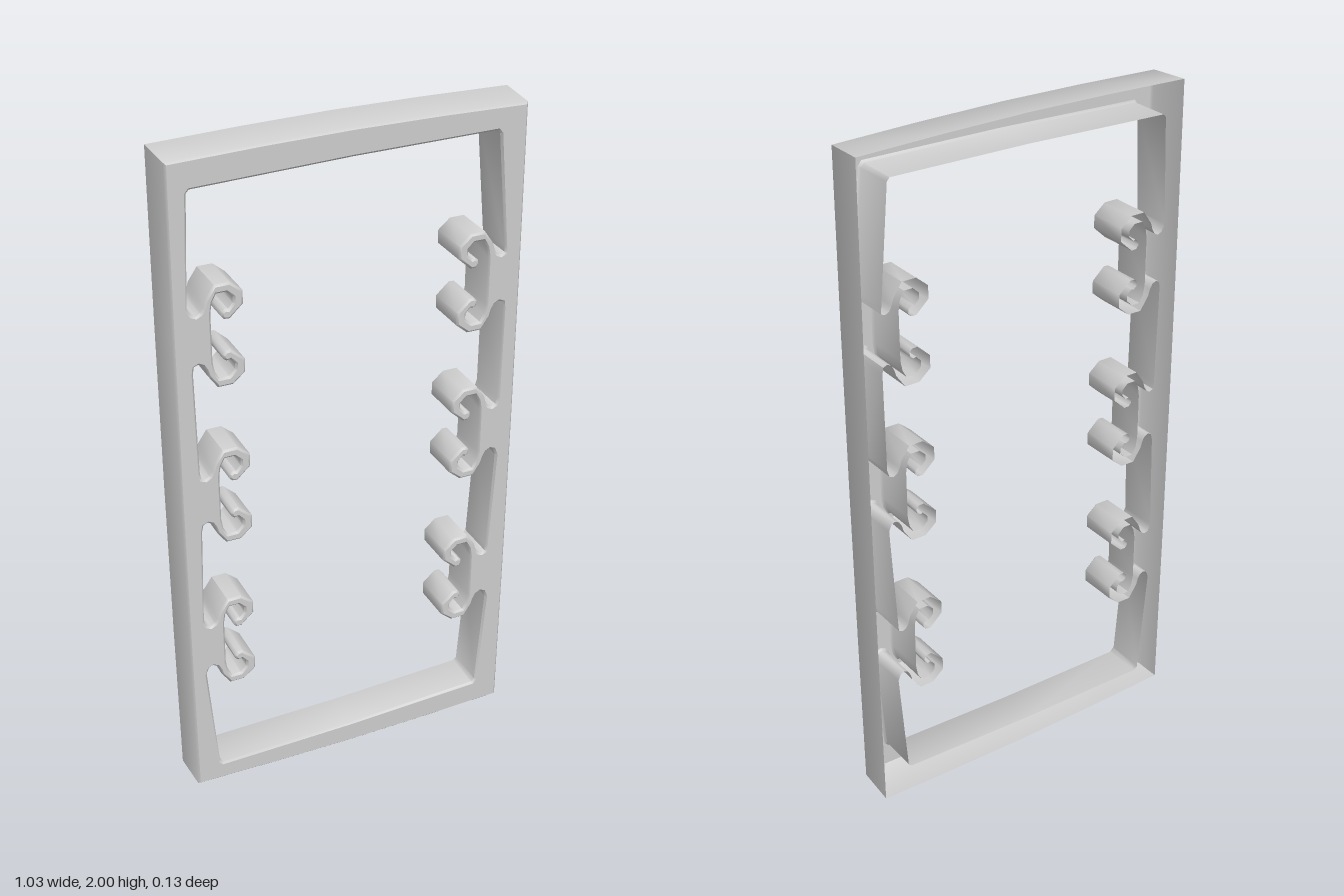
import * as THREE from 'three';
import { toCreasedNormals } from 'three/addons/utils/BufferGeometryUtils.js';

const FRONT = 0.063, BACK = -0.063, BEVEL = 0.006;
const material = new THREE.MeshStandardMaterial({ color: 0xcccccc, side: THREE.DoubleSide });

// Upper half of a double hook: u = distance inward from the stem edge, v = height above its middle
const HOOK = [
  [-0.052, 0.075], [-0.04, 0.07], [-0.028, 0.076], [-0.02, 0.09], [-0.014, 0.11], [0.012, 0.148],
  [0.055, 0.148], [0.09, 0.118], [0.09, 0.08], [0.052, 0.045], [0.036, 0.046], [0.028, 0.056],
  [0.03, 0.068], [0.039, 0.075], [0.048, 0.073], [0.062, 0.088], [0.062, 0.105], [0.044, 0.122],
  [0.017, 0.122], [0.005, 0.1], [0, 0.07],
];

// Hooks on each side, top to bottom: stem x, middle y, frame edge x above and below
const LEFT = [[0.405, 1.49, 0.455, 0.46], [0.4, 1.015, 0.458, 0.46], [0.39, 0.51, 0.443, 0.45]];
const RIGHT = [[0.4, 1.49, 0.463, 0.455], [0.395, 1.0, 0.45, 0.452], [0.4, 0.51, 0.46, 0.46]];

// Outline of one side of the opening, from top to bottom
function sideOutline(hooks, side) {
  const points = [];
  for (const [stem, y, above, below] of hooks) {
    points.push([side * above, y + 0.095]);
    for (const [u, v] of HOOK) points.push([side * (stem - u), y + v]);
    for (const [u, v] of [...HOOK].reverse()) points.push([side * (stem - u), y - v]);
    points.push([side * below, y - 0.095]);
  }
  return points;
}

// Move a closed counter-clockwise loop sideways; positive goes to its inside
function offset(loop, distance) {
  const n = loop.length;
  return loop.map(([x, y], i) => {
    const a = loop[(i + n - 1) % n], b = loop[(i + 1) % n];
    const d1 = new THREE.Vector2(x - a[0], y - a[1]).normalize();
    const d2 = new THREE.Vector2(b[0] - x, b[1] - y).normalize();
    const k = distance / Math.max(0.5, 1 + d1.dot(d2));
    return [x - (d1.y + d2.y) * k, y + (d1.x + d2.x) * k];
  });
}

// Skin a stack of equal loops, each { loop, z } listed from front to back
function skin(rings, facesInside) {
  const position = [];
  for (let r = 0; r < rings.length - 1; r++) {
    const f = rings[r], b = rings[r + 1], n = f.loop.length;
    for (let i = 0; i < n; i++) {
      const j = (i + 1) % n;
      const A = [...f.loop[i], f.z], B = [...f.loop[j], f.z];
      const C = [...b.loop[j], b.z], D = [...b.loop[i], b.z];
      position.push(...(facesInside ? [A, B, C, A, C, D] : [A, C, B, A, D, C]).flat());
    }
  }
  const geometry = new THREE.BufferGeometry();
  geometry.setAttribute('position', new THREE.Float32BufferAttribute(position, 3));
  return toCreasedNormals(geometry, THREE.MathUtils.degToRad(50));
}

export function createModel() {
  const group = new THREE.Group();
  group.name = 'hookedFrame';
  const add = (geometry, name) => {
    const mesh = new THREE.Mesh(geometry, material);
    mesh.name = name;
    group.add(mesh);
  };
  const vectors = (loop) => loop.map(([x, y]) => new THREE.Vector2(x, y));

  // Slightly bowed outer outline, a little wider at the back
  const back = [
    [-0.509, 0.01], [-0.25, 0.003], [0, 0], [0.25, 0.003], [0.509, 0.01], [0.512, 0.5], [0.513, 1],
    [0.512, 1.5], [0.509, 1.99], [0.25, 1.997], [0, 2], [-0.25, 1.997], [-0.509, 1.99],
    [-0.512, 1.5], [-0.513, 1], [-0.512, 0.5],
  ];
  const outer = offset(back, 0.005);

  // Opening outline with the hooks growing in from both sides
  const opening = [
    [-0.442, 1.905], [-0.45, 1.896], ...sideOutline(RIGHT, -1), [-0.432, 0.08], [-0.422, 0.07],
    [0, 0.075], [0.418, 0.09], [0.427, 0.1], ...sideOutline(LEFT, 1).reverse(),
    [0.425, 1.91], [0.417, 1.92], [0, 1.917],
  ];

  // Front face, between the two beveled edges
  const outerRim = offset(outer, BEVEL), openingRim = offset(opening, -BEVEL);
  const face = new THREE.Shape(vectors(outerRim));
  face.holes.push(new THREE.Path(vectors(openingRim)));
  add(new THREE.ShapeGeometry(face).translate(0, 0, FRONT), 'frontFace');

  // Outer and inner walls, with the back left open
  add(skin([
    { loop: outerRim, z: FRONT }, { loop: outer, z: FRONT - BEVEL }, { loop: back, z: BACK },
  ], false), 'outerWall');
  add(skin([
    { loop: openingRim, z: FRONT }, { loop: opening, z: FRONT - BEVEL }, { loop: opening, z: BACK },
  ], true), 'innerWallWithHooks');

  return group;
}
